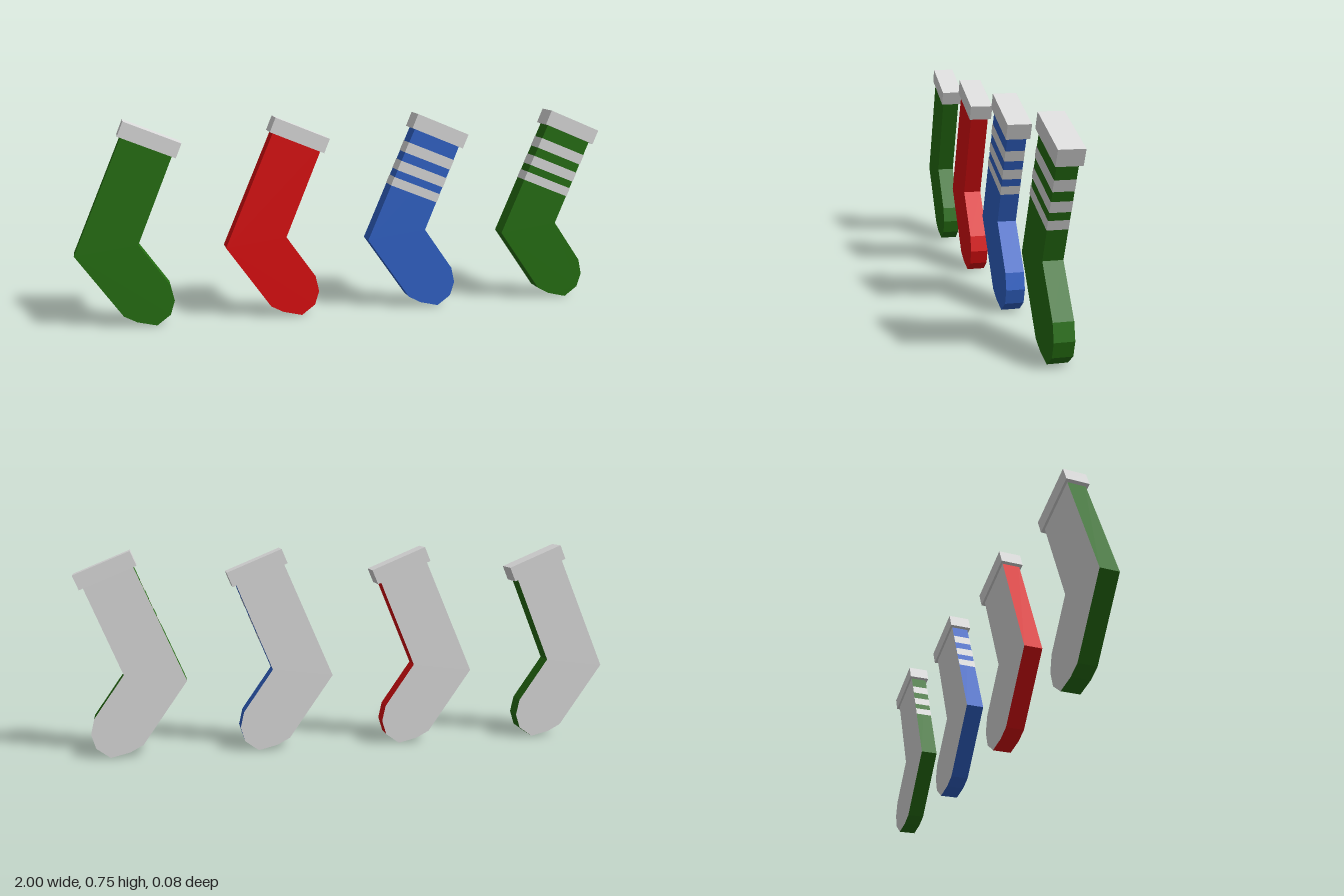
import * as THREE from 'three';

const D = 0.033;                                  // half thickness of a stocking
const UP = new THREE.Vector2(0.383, 0.924);       // direction of the tilted leg
const V = (x, y) => new THREE.Vector2(x, y);

// Leg edges, shin side and calf side, from ankle to inside the cuff
const CALF = [V(-0.194, 0.275), V(-0.006, 0.715)];
const SHIN = [V(0.03, 0.304), V(0.171, 0.648)];
const FOOT = [V(-0.031, 0.043), V(0.016, 0.018), V(0.086, 0.001), V(0.136, 0.038),
  V(0.152, 0.09), V(0.139, 0.148)];
// Lower and upper height of each stripe, measured along the leg
const STRIPES = [[0.405, 0.439], [0.467, 0.505], [0.539, 0.579]];

// Point on a leg edge at a given height along the leg
function onEdge([a, b], s) {
  const sa = a.dot(UP), sb = b.dot(UP);
  return a.clone().lerp(b, (s - sa) / (sb - sa));
}

// Flat stocking: material 0 on front and sides, material 1 on the back
function bodyGeometry() {
  const outline = [CALF[0], ...FOOT, SHIN[0], SHIN[1], CALF[1]];
  const geo = new THREE.ExtrudeGeometry(new THREE.Shape(outline), { depth: 2 * D, bevelEnabled: false });
  geo.translate(0, 0, -D);
  const half = geo.groups[0].count / 2;
  const total = geo.attributes.position.count;
  geo.clearGroups();
  geo.addGroup(0, half, 1);
  geo.addGroup(half, total - half, 0);
  return geo;
}

// Thin band wrapped over the front and both sides of the leg
function stripeGeometry(low, high) {
  const e = 0.0015;
  const section = (s) => {
    const l = onEdge(CALF, s), r = onEdge(SHIN, s);
    return [[l.x - e, l.y, -D], [l.x - e, l.y, D + e], [r.x + e, r.y, D + e], [r.x + e, r.y, -D]];
  };
  const a = section(low), b = section(high), pos = [];
  for (let i = 0; i < 3; i++) {
    pos.push(...a[i], ...a[i + 1], ...b[i + 1], ...a[i], ...b[i + 1], ...b[i]);
  }
  const geo = new THREE.BufferGeometry();
  geo.setAttribute('position', new THREE.Float32BufferAttribute(pos, 3));
  geo.computeVertexNormals();
  return geo;
}

export function createModel() {
  const mat = (name, color) => {
    const m = new THREE.MeshStandardMaterial({ color });
    m.name = name;
    return m;
  };
  const green = mat('green', 0x266f12);
  const red = mat('red', 0xdd0e10);
  const blue = mat('blue', 0x3163c8);
  const white = mat('white', 0xdcdcdc);

  const model = new THREE.Group();
  model.name = 'stockings';

  const body = bodyGeometry();
  const cuff = new THREE.BoxGeometry(0.2165, 0.0565, 0.083);
  const stripes = STRIPES.map(([low, high]) => stripeGeometry(low, high));

  const add = (parent, name, geo, material) => {
    const mesh = new THREE.Mesh(geo, material);
    mesh.name = name;
    parent.add(mesh);
    return mesh;
  };

  [[green, false], [red, false], [blue, true], [green, true]].forEach(([colour, striped], i) => {
    const stocking = new THREE.Group();
    stocking.name = `${striped ? 'striped' : 'plain'}Stocking${i + 1}`;
    stocking.position.x = (i - 1.5) * 0.537;

    add(stocking, 'sock', body, [colour, white]);
    const band = add(stocking, 'cuff', cuff, white);
    band.position.set(0.083, 0.6805, 0);
    band.rotation.z = -Math.PI / 8;
    if (striped) stripes.forEach((geo, k) => add(stocking, `stripe${k + 1}`, geo, white));

    model.add(stocking);
  });
  return model;
}
